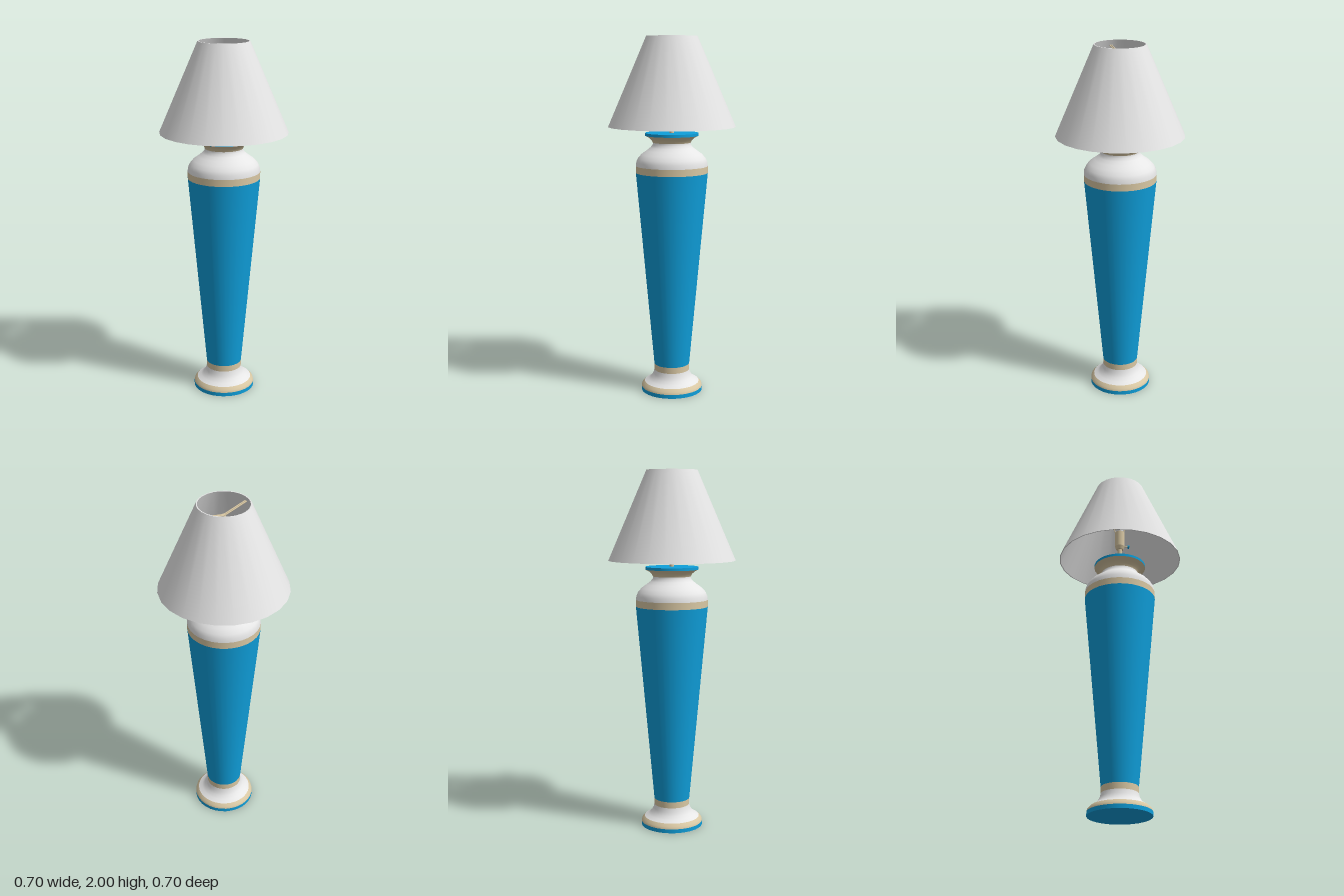
import * as THREE from 'three';

const mat = (name, color) => {
  const m = new THREE.MeshStandardMaterial({ color });
  m.name = name;
  return m;
};

export function createModel() {
  const white = mat('white', 0xe6e6e6);
  const blue = mat('blue', 0x0f9fdb);
  const beige = mat('beige', 0xd9c8a4);

  const lamp = new THREE.Group();
  lamp.name = 'tableLamp';

  const add = (name, geometry, material, parent = lamp) => {
    const mesh = new THREE.Mesh(geometry, material);
    mesh.name = name;
    parent.add(mesh);
    return mesh;
  };
  const lathe = (points, segments) =>
    new THREE.LatheGeometry(points.map(([r, y]) => new THREE.Vector2(r, y)), segments);
  const disc = (name, rTop, rBottom, y0, y1, material, segments = 32, parent = lamp) => {
    const mesh = add(name, new THREE.CylinderGeometry(rTop, rBottom, y1 - y0, segments), material, parent);
    mesh.position.y = (y0 + y1) / 2;
    return mesh;
  };
  const wire = (name, points, radius, parent) => {
    const curve = new THREE.CatmullRomCurve3(points.map(p => new THREE.Vector3(...p)));
    return add(name, new THREE.TubeGeometry(curve, 20, radius, 6), beige, parent);
  };

  // Vase body: foot, bands, tapered trunk, shoulder and flared lip
  disc('footPlate', 0.173, 0.173, 0, 0.022, blue);
  const bands = [
    ['footBand', beige, [[0.173, 0.022], [0.17, 0.035], [0.155, 0.05]]],
    ['footCurve', white, [[0.155, 0.05], [0.133, 0.062], [0.116, 0.078], [0.105, 0.098], [0.1, 0.12]]],
    ['ankleBand', beige, [[0.1, 0.12], [0.1, 0.155]]],
    ['trunk', blue, [[0.1, 0.155], [0.2, 1.255]]],
    ['shoulderBand', beige, [[0.2, 1.255], [0.2, 1.293]]],
    ['shoulder', white, [[0.2, 1.293], [0.197, 1.315], [0.188, 1.335], [0.168, 1.358],
      [0.14, 1.378], [0.118, 1.395], [0.106, 1.41], [0.105, 1.422]]],
    ['neckBand', beige, [[0.105, 1.422], [0.111, 1.435], [0.125, 1.448], [0.147, 1.46]]],
  ];
  for (const [name, material, points] of bands) add(name, lathe(points, 32), material);
  disc('lip', 0.147, 0.147, 1.46, 1.475, blue);

  // Stem, socket and switch knob
  disc('stem', 0.013, 0.013, 1.47, 1.59, beige, 16);
  disc('socketCollar', 0.028, 0.02, 1.585, 1.605, beige, 20);
  disc('socket', 0.028, 0.028, 1.605, 1.7, beige, 20);
  const knobPin = disc('switchPin', 0.005, 0.005, 1.59, 1.62, beige, 8);
  knobPin.rotation.x = Math.PI / 2;
  knobPin.position.set(0, 1.61, 0.035);
  const knob = disc('switchKnob', 0.01, 0.01, 1.6, 1.61, blue, 12);
  knob.rotation.x = Math.PI / 2;
  knob.position.set(0, 1.61, 0.05);

  // Bulb
  add('bulb', lathe([[0.02, 1.7], [0.022, 1.72], [0.033, 1.75], [0.042, 1.78], [0.045, 1.81],
    [0.042, 1.833], [0.032, 1.852], [0.017, 1.864], [0.0001, 1.867]], 20), white);

  // Wire clip around the bulb
  const clip = new THREE.Group();
  clip.name = 'bulbClip';
  lamp.add(clip);
  for (let i = 0; i < 6; i++) {
    const a = (i * Math.PI) / 3, c = Math.cos(a), s = Math.sin(a);
    const path = [[0, 1.935], [0.02, 1.9], [0.042, 1.86], [0.05, 1.81], [0.044, 1.76], [0.028, 1.71]];
    wire('clipWire', path.map(([r, y]) => [r * c, y, r * s]), 0.003, clip);
  }

  // Paired spider rods holding the shade, dipping to the middle
  const spider = new THREE.Group();
  spider.name = 'shadeSpider';
  lamp.add(spider);
  for (const side of [-1, 1]) {
    for (const z of [-0.005, 0.005]) {
      wire('spiderRod', [[0, 1.937, z], [side * 0.07, 1.953, z], [side * 0.142, 1.97, z]], 0.0035, spider);
    }
  }
  disc('spiderHub', 0.01, 0.01, 1.927, 1.941, beige, 12, spider);

  // Shade: outer and inner walls joined by thin rims
  const shade = new THREE.Group();
  shade.name = 'shade';
  lamp.add(shade);
  const ring = [[0.352, 1.51], [0.14, 2], [0.134, 2], [0.346, 1.51]];
  ['shadeOuter', 'shadeTopRim', 'shadeInner', 'shadeBottomRim'].forEach((name, i) =>
    add(name, lathe([ring[i], ring[(i + 1) % 4]], 24), white, shade));

  return lamp;
}
